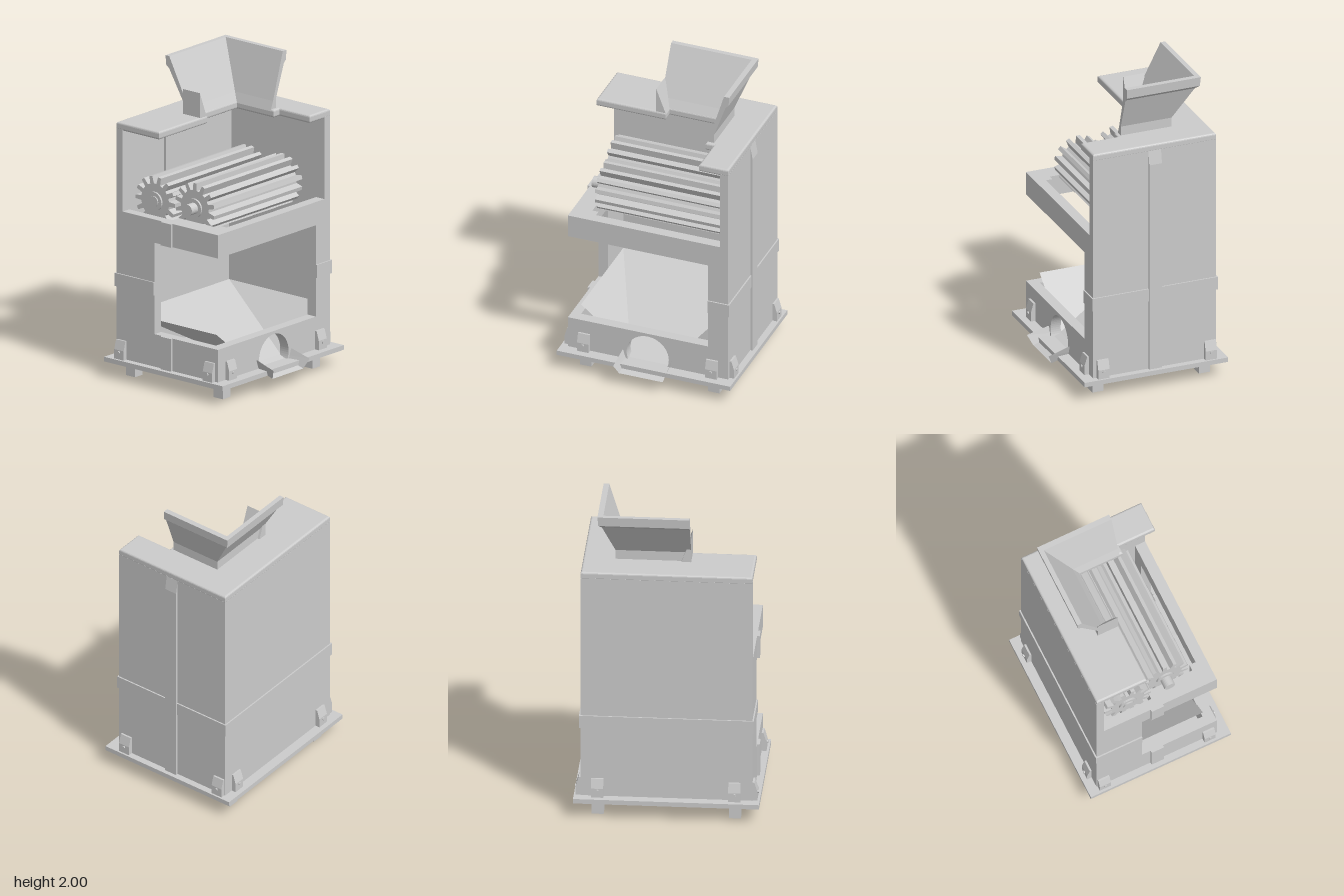
import * as THREE from 'three';

const mat = new THREE.MeshStandardMaterial({ color: 0xcccccc, flatShading: true });
const thin = new THREE.MeshStandardMaterial({ color: 0xcccccc, flatShading: true, side: THREE.DoubleSide });

// Body limits
const X0 = -0.455, X1 = 0.37, Z0 = -0.535, Z1 = 0.53, Y0 = 0.13, YT = 1.61;

function add(parent, name, geometry, material = mat) {
  const mesh = new THREE.Mesh(geometry, material);
  mesh.name = name;
  parent.add(mesh);
  return mesh;
}

// Box given by its limits
function box(parent, name, x0, x1, y0, y1, z0, z1) {
  const mesh = add(parent, name, new THREE.BoxGeometry(x1 - x0, y1 - y0, z1 - z0));
  mesh.position.set((x0 + x1) / 2, (y0 + y1) / 2, (z0 + z1) / 2);
  return mesh;
}

const shapeOf = pts => new THREE.Shape(pts.map(p => new THREE.Vector2(...p)));
const extrude = (shape, depth) =>
  new THREE.ExtrudeGeometry(shape, { depth, bevelEnabled: false, curveSegments: 20 });

// Flat-faced surface from quads and triangles
function faces(list) {
  const pos = [];
  for (const f of list)
    for (let i = 1; i < f.length - 1; i++) pos.push(...f[0], ...f[i], ...f[i + 1]);
  const g = new THREE.BufferGeometry();
  g.setAttribute('position', new THREE.Float32BufferAttribute(pos, 3));
  g.computeVertexNormals();
  return g;
}

function gearShape(root, tip, teeth, phase) {
  const pts = [], step = (Math.PI * 2) / teeth;
  for (let i = 0; i < teeth; i++)
    for (const [a, r] of [[-0.3, root], [-0.17, tip], [0.17, tip], [0.3, root]]) {
      const t = (i + a + phase) * step;
      pts.push([r * Math.cos(t), r * Math.sin(t)]);
    }
  return shapeOf(pts);
}

function buildBase(g) {
  box(g, 'basePlate', -0.517, 0.445, 0.1, Y0, -0.577, 0.575);
  for (const x of [-0.405, 0.31])
    for (const z of [-0.43, 0.42])
      box(g, 'foot', x - 0.037, x + 0.037, 0, 0.1, z - 0.037, z + 0.037);

  // Corner brackets with bolts; u points outward from the wall
  const profile = shapeOf([[-0.005, Y0], [0.03, Y0], [0.03, 0.19], [0.012, 0.25], [-0.005, 0.25]]);
  const bracket = (x, z, turn) => {
    const b = new THREE.Group();
    b.name = 'cornerBracket';
    add(b, 'bracketPlate', extrude(profile, 0.076).translate(0, 0, -0.038));
    add(b, 'bolt', new THREE.CylinderGeometry(0.01, 0.01, 0.02, 8).rotateZ(Math.PI / 2).translate(0.028, 0.175, 0));
    b.position.set(x, 0, z);
    b.rotation.y = turn;
    g.add(b);
  };
  for (const x of [-0.41, 0.31]) {
    bracket(x, Z1, -Math.PI / 2);
    bracket(x, Z0, Math.PI / 2);
  }
  for (const z of [-0.43, 0.42]) {
    bracket(X1, z, 0);
    bracket(X0, z, Math.PI);
  }
}

function buildBody(g) {
  box(g, 'leftWall', X0, -0.405, Y0, YT, Z0, Z1);
  box(g, 'leftLiner', -0.406, -0.385, 1.08, YT, -0.49, 0.14);
  box(g, 'backWall', X0, X1, Y0, YT, Z0, -0.48);

  // Front wall, cut open around the rollers and the discharge chamber
  add(g, 'frontWall', extrude(shapeOf([
    [X0, Y0], [X1, Y0], [X1, 0.34], [-0.145, 0.34], [-0.145, 0.93],
    [X1, 0.93], [X1, 1.08], [-0.405, 1.08], [-0.405, YT], [X0, YT],
  ]), 0.062)).position.z = Z1 - 0.062;
  box(g, 'bearingLedge', -0.05, 0.31, 0.95, 1.08, 0.41, 0.47);
  box(g, 'bearingLedge', 0.26, 0.31, 0.95, 1.08, 0.37, 0.42);

  // Right wall with an arch for the spout
  const s = new THREE.Shape();
  s.moveTo(Z0, Y0);
  s.lineTo(-0.131, Y0);
  s.absarc(0, 0.18, 0.14, Math.PI + 0.365, -0.365, true);
  for (const p of [[Z1, Y0], [Z1, 0.34], [-0.4, 0.34], [-0.4, 0.93], [Z1, 0.93], [Z1, 1.08], [-0.48, 1.08], [-0.48, YT], [Z0, YT]])
    s.lineTo(...p);
  const right = add(g, 'rightWall', extrude(s, 0.068).rotateY(-Math.PI / 2));
  right.position.x = X1;

  // Horizontal reinforcing strips
  const a = 0.59, b = 0.675, t = 0.009;
  box(g, 'sideStrip', X0 - t, X0, a, b, Z0 - t, Z1 + t);
  box(g, 'backStrip', X0, X1, a, b, Z0 - t, Z0);
  box(g, 'sideStrip', X1, X1 + t, a, b, Z0 - t, -0.4);
  box(g, 'frontStrip', X0, -0.145, a, b, Z1, Z1 + t);

  // Vertical ribs
  box(g, 'frontRib', -0.085, 0, Y0, 0.34, Z1, Z1 + 0.016);
  box(g, 'frontRib', -0.085, 0, 0.93, 1.08, Z1, Z1 + 0.016);
  const rib = shapeOf([[Z0, Y0], [Z0, YT], [Z0 - 0.016, 1.52], [Z0 - 0.016, Y0]]);
  add(g, 'backRib', extrude(rib, 0.085).rotateY(-Math.PI / 2));

  // Cut-away lid with rounded edges; drawn in x and -z
  const e = 0.012;
  const lid = shapeOf([
    [X0 + e, -Z1 + e], [-0.11 - e, -Z1 + e], [-0.11 - e, -0.07 - e], [-0.175 - e, -0.07 - e],
    [-0.175 - e, 0.285 + e], [0.1 + e, 0.285 + e], [0.1 + e, 0.34 + e], [X1 - e, 0.34 + e],
    [X1 - e, -Z0 - e], [X0 + e, -Z0 - e],
  ]);
  add(g, 'lid', new THREE.ExtrudeGeometry(lid, {
    depth: 0.026, bevelSize: e, bevelThickness: e, bevelSegments: 3,
  }).rotateX(-Math.PI / 2)).position.y = 1.612;
}

function buildHopper(g) {
  // Wall section as [x of left wall, z of back wall, y], swept round the corner
  const section = [
    [-0.395, -0.435, 2], [-0.39, -0.43, 1.94], [-0.365, -0.41, 1.92], [-0.24, -0.335, 1.71],
    [-0.24, -0.335, 1.64], [-0.175, -0.285, 1.64], [-0.21, -0.308, 1.7], [-0.365, -0.4, 2],
  ];
  const stations = [
    ([x, , y]) => [x, y, 0.135],
    ([x, z, y]) => [x, y, z],
    ([, z, y]) => [0.1, y, z],
  ];
  const rings = stations.map(f => section.map(f));
  const list = [];
  const n = section.length;
  for (let r = 0; r < 2; r++)
    for (let i = 0; i < n; i++) {
      const j = (i + 1) % n;
      list.push([rings[r][i], rings[r][j], rings[r + 1][j], rings[r + 1][i]]);
    }
  for (const c of [rings[0], rings[2]])
    list.push([c[0], c[1], c[2], c[7]], [c[2], c[3], c[6], c[7]], [c[3], c[4], c[5], c[6]]);
  add(g, 'hopper', faces(list), thin);

  // Remaining foot of the hopper's front wall
  const foot = shapeOf([[0.07, 1.64], [0.135, 1.64], [0.135, 1.81]]);
  add(g, 'hopperFrontFoot', extrude(foot, 0.14).rotateY(-Math.PI / 2)).position.x = -0.115;
}

function buildRollers(g) {
  for (const [x, phase, front] of [[-0.205, 0, 0.455], [0.075, 0.5, 0.405]]) {
    const r = new THREE.Group();
    r.name = 'roller';
    const cyl = (name, rad, z0, z1, sides) => add(r, name,
      new THREE.CylinderGeometry(rad, rad, z1 - z0, sides).rotateX(Math.PI / 2).translate(0, 0, (z0 + z1) / 2));
    add(r, 'toothedRoller', extrude(gearShape(0.113, 0.16, 14, phase), front + 0.43)).position.z = -0.43;
    cyl('hub', 0.06, front, front + 0.012, 24);
    cyl('shaft', 0.036, -0.48, 0.475, 24);
    r.position.set(x, 1.17, 0);
    g.add(r);
  }
}

function buildDischarge(g) {
  // Collecting funnel sloping down to the spout
  const xl = -0.405, xr = 0.305, yt = 0.41, yb = 0.145;
  const floor = [[[xl, yt, 0.468], [xr, yb, 0.14], [xr, yb, -0.14], [xl, yt, -0.48]]];
  floor.push([[xl, yt, 0.468], [xr, yt, 0.468], [xr, yb, 0.14]]);
  floor.push([[xl, yt, -0.48], [xr, yb, -0.14], [xr, yt, -0.48]]);
  add(g, 'funnel', faces(floor), thin);

  // Open spout with flared sides
  const spout = [[[0.3, 0.145, 0.14], [0.485, 0.087, 0.145], [0.485, 0.087, -0.145], [0.3, 0.145, -0.14]]];
  for (const s of [1, -1])
    spout.push([[0.3, 0.145, 0.14 * s], [0.485, 0.087, 0.145 * s], [0.515, 0.15, 0.172 * s], [0.375, 0.19, 0.165 * s]]);
  add(g, 'spout', faces(spout), thin);
}

export function createModel() {
  const model = new THREE.Group();
  model.name = 'rollerCrusher';
  const parts = { base: buildBase, body: buildBody, hopper: buildHopper, rollers: buildRollers, discharge: buildDischarge };
  for (const [name, build] of Object.entries(parts)) {
    const part = new THREE.Group();
    part.name = name;
    build(part);
    model.add(part);
  }
  return model;
}
